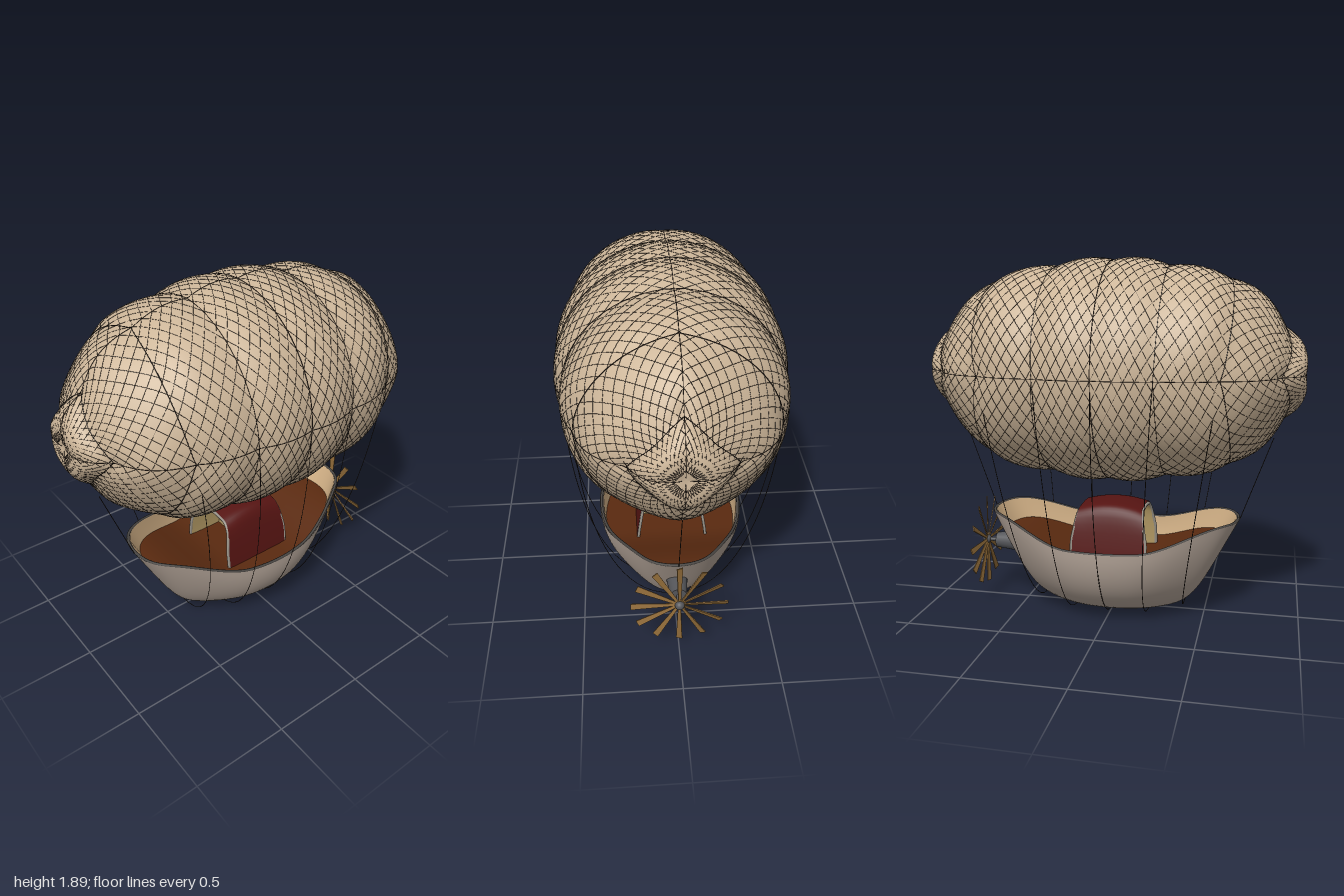
import * as THREE from 'three';
import { mergeVertices, mergeGeometries } from 'three/addons/utils/BufferGeometryUtils.js';

const { sin, cos, abs, sign, PI, pow, min, max, asin } = Math;
const smooth = THREE.MathUtils.smoothstep;
const V = (x, y, z) => new THREE.Vector3(x, y, z);
const mat = (color) => new THREE.MeshStandardMaterial({ color, side: THREE.DoubleSide });
const M = {
  cloth: mat(0xcdb699), rope: mat(0x2a211b), hull: mat(0xb0a195), lining: mat(0xcfae84),
  deck: mat(0x5a2a10), rim: mat(0x4a4744), red: mat(0x561412), cream: mat(0xb99f68),
  frame: mat(0x9a948a), metal: mat(0x55565a), wood: mat(0x8f6a38),
};

// Smooth grid surface from f(u, v), u and v in 0..1
function surface(nu, nv, f) {
  const pos = [], idx = [];
  for (let i = 0; i <= nu; i++) for (let j = 0; j <= nv; j++) pos.push(...f(i / nu, j / nv).toArray());
  for (let i = 0; i < nu; i++) for (let j = 0; j < nv; j++) {
    const a = i * (nv + 1) + j, b = a + nv + 1;
    idx.push(a, b, a + 1, b, b + 1, a + 1);
  }
  let g = new THREE.BufferGeometry();
  g.setAttribute('position', new THREE.Float32BufferAttribute(pos, 3));
  g.setIndex(idx);
  g = mergeVertices(g, 1e-5);
  g.computeVertexNormals();
  return g;
}

// Thin tube through f(u), u in 0..1
function rope(f, n, radius, sides = 3) {
  const pts = [];
  for (let i = 0; i <= n; i++) pts.push(f(i / n));
  return new THREE.TubeGeometry(new THREE.CatmullRomCurve3(pts), n, radius, sides);
}

// Envelope: padded sections between rib nodes [z, radius, bulge], mirrored in z
const CY = 1.305;
const NODES = [[0, 0.57, 0.026], [0.29, 0.54, 0.028], [0.59, 0.475, 0.055], [0.865, 0.24, 0.055], [0.978, 0]];
function envelopePoint(t, a) {
  const s = min(abs(t), 4), i = min(Math.floor(s), 3), f = s - i;
  const [z0, r0, b] = NODES[i], [z1, r1] = NODES[i + 1];
  const len = Math.hypot(z1 - z0, r1 - r0), puff = b * pow(sin(PI * f), 0.85);
  let z = z0 + (z1 - z0) * f + puff * (r0 - r1) / len;
  let r = max(0, r0 + (r1 - r0) * f + puff * (z1 - z0) / len);
  // between the four seams the ends turn diamond shaped and billow outward
  const lobe = abs(sin(2 * a));
  r *= 1 - 0.25 * lobe * smooth(z, 0.5, 0.9);
  z += 0.045 * pow(lobe, 0.7) * smooth(z, 0.15, 0.6) * (1 - smooth(s, 3, 3.9));
  return V(r * cos(a), CY + r * sin(a), z * (sign(t) || 1));
}

// Hull: raked stations s = -1..1, angle a from rim (0) to keel (PI / 2)
const rimY = (s) => 0.41 + 0.12 * smooth(abs(s), 0.25, 0.95);
const keelY = (s) => 0.01 + 0.045 * pow(abs(s), 4);
function hullPoint(s, a, side, inset = 1) {
  const taper = 0.4 * pow(max(0, 1 - s * s), 0.75);
  const blunt = 0.1 * pow(s, 4) * pow(max(0, 1 - pow(s, 20)), 0.5);
  const d = sin(a), y = rimY(s) - (rimY(s) - keelY(s)) * d;
  const x = side * (taper + blunt) * pow(max(0, cos(a)), 0.9);
  return V(x * inset, y, s * (0.68 - 0.25 * d - 0.05 * pow(d, 8)) * (0.5 + inset / 2));
}
const station = (u) => sin((u - 0.5) * PI);
const deckAngle = (s) => asin(0.11 / (rimY(s) - keelY(s)));

// Cabin shell: arched section with raked ends and a cambered roof
const ARCH = new THREE.CatmullRomCurve3([
  [-0.2, 0.25], [-0.185, 0.38], [-0.155, 0.52], [-0.12, 0.565], [-0.06, 0.577], [0.06, 0.577],
  [0.12, 0.565], [0.155, 0.52], [0.185, 0.38], [0.2, 0.25]].map(([x, y]) => V(x, y, 0)));
function cabinPoint(u, v, k = 1) {
  const p = ARCH.getPoint(u), e = 2 * v - 1;
  const half = 0.2 - 0.18 * max(0, p.y - 0.41);
  const y = 0.25 + (p.y - 0.25) * k;
  return V(p.x * k, y + 0.026 * (1 - e * e) * smooth(p.y, 0.45, 0.57), e * half);
}

export function createModel() {
  const model = new THREE.Group();
  const add = (name, geo, material, parent = model) => {
    const m = new THREE.Mesh(geo, material);
    m.name = name;
    parent.add(m);
    return m;
  };

  // Balloon envelope
  add('envelope', surface(88, 72, (u, v) => envelopePoint(u * 8 - 4, v * 2 * PI)), M.cloth);

  // Rib ropes, lengthwise seams and the diagonal net
  const bands = [], net = [];
  for (let t = -3; t <= 3; t++) bands.push(rope((u) => envelopePoint(t, u * 2 * PI), 72, 0.003));
  for (let k = 0; k < 4; k++) bands.push(rope((u) => envelopePoint(u * 7.9 - 3.95, k * PI / 2), 88, 0.002));
  const N = 36;
  for (let k = 0; k < N; k++) for (const dir of [-1, 1])
    net.push(rope((u) => envelopePoint(u * 7.7 - 3.85, (k / N) * 2 * PI + dir * (u - 0.5) * 7.5), 110, 0.0012));
  add('envelopeBands', mergeGeometries(bands), M.rope);
  add('envelopeNet', mergeGeometries(net), M.rope);

  // Suspension ropes looping under the hull, and one at each end
  const slings = [];
  for (const [t, zLow, e] of [[0, 0, 0.75], [1, 0.2, 0.75], [-1, -0.2, 0.75], [2, 0.39, 0.9], [-2, -0.39, 0.9]]) {
    const top = envelopePoint(t, 0), low = keelY(zLow / 0.4) - 0.006;
    slings.push(rope((u) => {
      const a = u * PI, d = sin(a);
      return V(top.x * sign(cos(a)) * pow(abs(cos(a)), e), CY - (CY - low) * d, top.z + (zLow - top.z) * d);
    }, 48, 0.002, 4));
  }
  for (const s of [-1, 1]) slings.push(rope((u) => V(0, 0.97 - 0.44 * u, s * (0.84 - 0.16 * u)), 4, 0.002, 4));
  add('suspensionRopes', mergeGeometries(slings), M.rope);

  // Boat hull, lining, deck and gunwale
  const boat = new THREE.Group();
  boat.name = 'boat';
  model.add(boat);
  add('hull', surface(56, 40, (u, v) => {
    const a = v * PI;
    return hullPoint(station(u), a > PI / 2 ? PI - a : a, v > 0.5 ? -1 : 1);
  }), M.hull, boat);
  for (const side of [-1, 1]) {
    add(side > 0 ? 'leftLining' : 'rightLining', surface(56, 6, (u, v) => {
      const s = station(u);
      return hullPoint(s, v * deckAngle(s), side, 0.95);
    }), M.lining, boat);
    add(side > 0 ? 'leftGunwale' : 'rightGunwale',
      rope((u) => hullPoint(station(u), 0, side, 0.975), 64, 0.008, 6), M.rim, boat);
  }
  add('deck', surface(48, 4, (u, v) => {
    const s = station(u);
    return hullPoint(s, deckAngle(s), 2 * v - 1, 0.95);
  }), M.deck, boat);

  // Cabin: red shell, cream interior, bulkhead and end frames
  const cabin = new THREE.Group();
  cabin.name = 'cabin';
  model.add(cabin);
  add('cabinShell', surface(36, 10, (u, v) => cabinPoint(u, v)), M.red, cabin);
  add('cabinLining', surface(36, 10, (u, v) => cabinPoint(u, v, 0.93)), M.cream, cabin);
  add('cabinBulkhead', surface(36, 1, (u, v) => {
    const p = cabinPoint(u, 0.5, 0.93);
    return v ? p : V(p.x, 0.25, 0);
  }), M.cream, cabin);
  for (const v of [0, 1])
    add(v ? 'frontFrame' : 'rearFrame', rope((u) => cabinPoint(u, v, 0.965), 36, 0.009, 6), M.frame, cabin);

  // Engine pod, shaft, hub and twelve paddle blades
  const engine = new THREE.Group();
  engine.name = 'engine';
  engine.position.set(0, 0.325, 0);
  model.add(engine);
  const rod = (name, rBack, rFront, z0, z1) => {
    const m = add(name, new THREE.CylinderGeometry(rFront, rBack, z1 - z0, 20), M.metal, engine);
    m.rotation.x = PI / 2;
    m.position.z = (z0 + z1) / 2;
  };
  rod('enginePod', 0.042, 0.06, -0.68, -0.52);
  rod('propellerShaft', 0.01, 0.012, -0.75, -0.67);
  add('propellerHub', new THREE.SphereGeometry(0.025, 20, 14), M.metal, engine).position.z = -0.745;
  const bladeGeo = new THREE.BoxGeometry(0.032, 0.235, 0.006);
  const bp = bladeGeo.attributes.position;
  for (let i = 0; i < bp.count; i++) if (bp.getY(i) < 0) bp.setX(i, bp.getX(i) * 0.4);
  bladeGeo.rotateY(0.35).translate(0, 0.13, 0);
  for (let k = 0; k < 12; k++) {
    const blade = add('propellerBlade', bladeGeo, M.wood, engine);
    blade.position.z = -0.74;
    blade.rotation.z = k * PI / 6;
  }
  return model;
}
